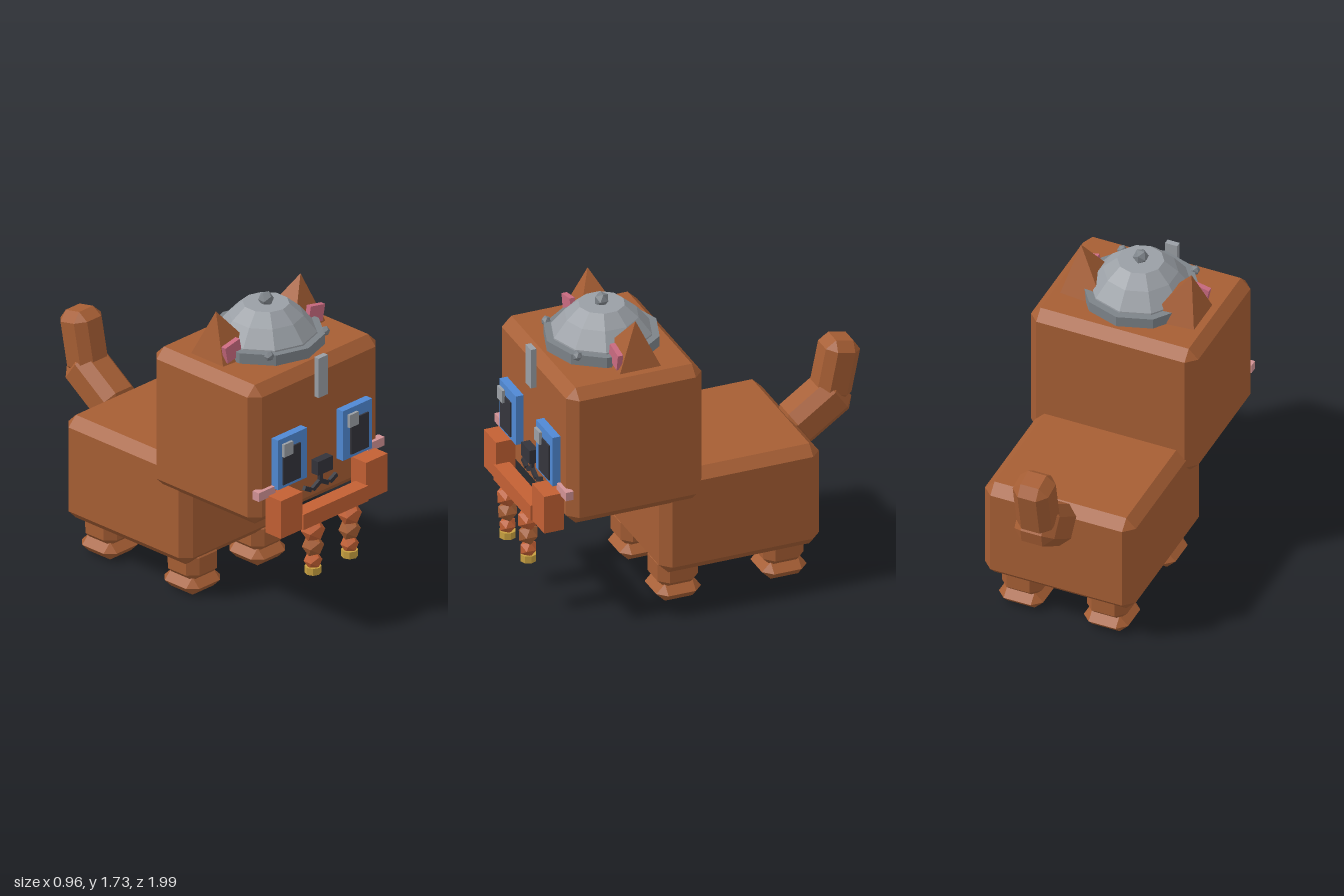
import * as THREE from 'three';
import { ConvexGeometry } from 'three/addons/geometries/ConvexGeometry.js';

export function createModel() {
  const model = new THREE.Group();
  model.name = 'cat';

  const mat = (name, color) => {
    const m = new THREE.MeshStandardMaterial({ color, flatShading: true });
    m.name = name;
    return m;
  };
  const fur = mat('brown fur', 0xa65e34);
  const beard = mat('orange beard', 0xc36034);
  const steel = mat('light steel', 0x9a9fa5);
  const rimSteel = mat('dark steel', 0x7d8389);
  const blue = mat('eye blue', 0x5089d4);
  const dark = mat('charcoal', 0x34343b);
  const cheekPink = mat('cheek pink', 0xd29295);
  const earPink = mat('ear pink', 0xc96a80);
  const gold = mat('gold', 0xc8a040);

  const add = (name, geometry, material, x, y, z, rx = 0, ry = 0, rz = 0) => {
    const mesh = new THREE.Mesh(geometry, material);
    mesh.name = name;
    mesh.position.set(x, y, z);
    mesh.rotation.set(rx, ry, rz);
    model.add(mesh);
    return mesh;
  };
  const box = (w, h, d) => new THREE.BoxGeometry(w, h, d);

  // Box with every edge cut at 45 degrees
  const chamferBox = (w, h, d, c) => {
    const points = [];
    for (const sx of [-1, 1]) for (const sy of [-1, 1]) for (const sz of [-1, 1]) {
      for (let axis = 0; axis < 3; axis++) {
        const p = [w / 2 - c, h / 2 - c, d / 2 - c];
        p[axis] += c;
        points.push(new THREE.Vector3(sx * p[0], sy * p[1], sz * p[2]));
      }
    }
    return new ConvexGeometry(points);
  };

  // Body and head
  add('body', chamferBox(0.87, 0.6, 0.915, 0.055), fur, 0, 0.5, -0.165);
  add('head', chamferBox(0.965, 0.81, 0.775, 0.055), fur, 0, 1.047, 0.457);

  // Tail in two bent segments
  add('tailBase', chamferBox(0.23, 0.37, 0.23, 0.055), fur, 0, 0.787, -0.76, -0.96);
  add('tailTip', chamferBox(0.205, 0.35, 0.2, 0.05), fur, 0, 1.005, -0.877, -0.2);

  // Legs and feet
  for (const s of [-1, 1]) for (const z of [0.155, -0.45]) {
    add('leg', chamferBox(0.232, 0.2, 0.232, 0.05), fur, s * 0.245, 0.17, z);
    add('foot', chamferBox(0.255, 0.1, 0.255, 0.0495), fur, s * 0.245, 0.05, z);
  }

  // Four-sided ears leaning outwards, with pink inner plates
  const earGeometry = new THREE.ConeGeometry(0.185, 0.27, 4).rotateY(Math.PI / 4);
  for (const s of [-1, 1]) {
    add('ear', earGeometry, fur, s * 0.292, 1.58, 0.4, 0, 0, -s * 0.2);
    add('innerEar', box(0.11, 0.095, 0.03), earPink, s * 0.313, 1.52, 0.51, 0, 0, -s * 0.2);
  }

  // Helmet: faceted dome, rim, knob, bolts and nose guard
  const hz = 0.457;
  const dome = [[0.28, 1.45], [0.272, 1.52], [0.2, 1.61], [0.125, 1.675], [0, 1.675]];
  add('helmetDome', new THREE.LatheGeometry(dome.map(([r, y]) => new THREE.Vector2(r, y)), 10),
    steel, 0, 0, hz);
  add('helmetRim', new THREE.CylinderGeometry(0.313, 0.313, 0.062, 10), rimSteel, 0, 1.481, hz);
  add('helmetKnob', new THREE.IcosahedronGeometry(0.043), rimSteel, 0, 1.695, hz);
  for (const s of [-1, 1]) {
    add('helmetBolt', new THREE.IcosahedronGeometry(0.028), rimSteel, s * 0.21, 1.51, 0.685);
  }
  add('noseGuard', box(0.07, 0.23, 0.032), steel, 0, 1.383, 0.861);

  // Eyes; both highlights sit on the same side
  for (const s of [-1, 1]) {
    add('eye', box(0.22, 0.29, 0.05), blue, s * 0.245, 0.99, 0.865);
    add('pupil', box(0.132, 0.205, 0.009), dark, s * 0.256, 0.968, 0.8945);
    add('eyeHighlight', box(0.068, 0.074, 0.016), steel, s * 0.247 - 0.05, 1.072, 0.905);
    add('cheek', box(0.125, 0.05, 0.045), cheekPink, s * 0.412, 0.835, 0.843);
  }

  // Nose and mouth strokes
  add('nose', box(0.11, 0.08, 0.055), dark, 0, 0.866, 0.866);
  add('mouthStem', box(0.022, 0.08, 0.022), dark, 0, 0.793, 0.853);
  for (const s of [-1, 1]) {
    add('mouthInner', box(0.062, 0.024, 0.022), dark, s * 0.03, 0.751, 0.853, 0, 0, -s * 0.5);
    add('mouthOuter', box(0.056, 0.024, 0.022), dark, s * 0.097, 0.751, 0.853, 0, 0, s * 0.5);
  }

  // Beard blocks, crossbar and hanging braids with gold ties
  add('beardBar', box(0.49, 0.09, 0.09), beard, 0, 0.645, 0.925);
  for (const s of [-1, 1]) {
    add('beardSide', box(0.162, 0.22, 0.112), beard, s * 0.321, 0.71, 0.902);
    const beads = [[0.555, 0.067, beard], [0.463, 0.061, fur], [0.378, 0.051, beard]];
    for (const [y, r, m] of beads) {
      add('braidBead', new THREE.IcosahedronGeometry(r), m, s * 0.138, y, 0.936);
    }
    add('braidTie', new THREE.CylinderGeometry(0.045, 0.045, 0.04, 8), gold, s * 0.138, 0.326, 0.936);
  }

  return model;
}
